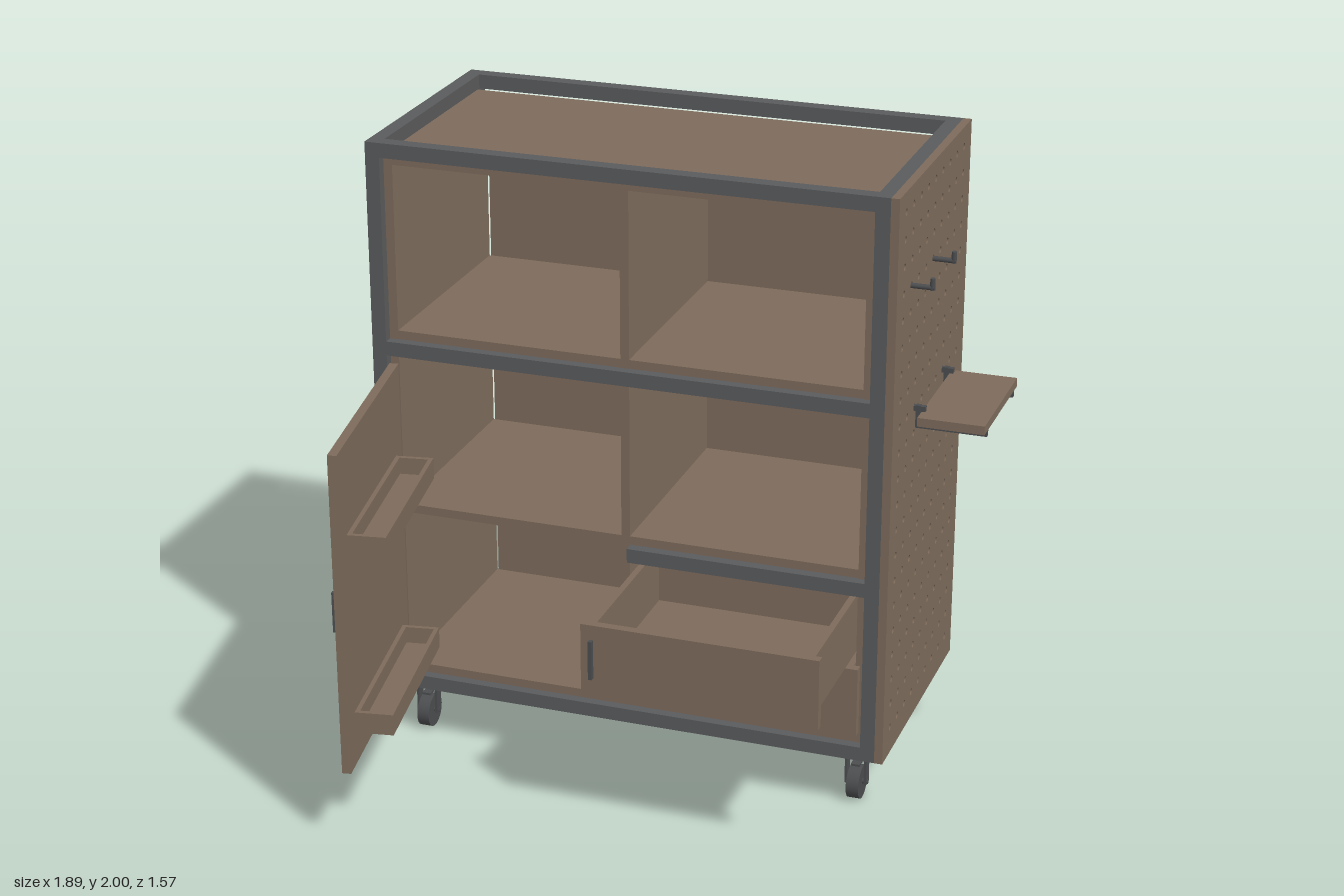
import * as THREE from 'three';

const wood = new THREE.MeshStandardMaterial({ color: 0x7d6b5b });
wood.name = 'plywood';
const steel = new THREE.MeshStandardMaterial({ color: 0x5a5b5c });
steel.name = 'frame steel';
const dark = new THREE.MeshStandardMaterial({ color: 0x4c4d4f });
dark.name = 'dark hardware';

// Box given by its min and max on each axis
function box(parent, name, mat, x0, x1, y0, y1, z0, z1) {
  const m = new THREE.Mesh(new THREE.BoxGeometry(x1 - x0, y1 - y0, z1 - z0), mat);
  m.position.set((x0 + x1) / 2, (y0 + y1) / 2, (z0 + z1) / 2);
  m.name = name;
  parent.add(m);
  return m;
}

function group(parent, name, x = 0, y = 0, z = 0) {
  const g = new THREE.Group();
  g.name = name;
  g.position.set(x, y, z);
  parent.add(g);
  return g;
}

function cylinder(parent, name, mat, r, h, x, y, z, sides = 24) {
  const m = new THREE.Mesh(new THREE.CylinderGeometry(r, r, h, sides), mat);
  m.position.set(x, y, z);
  m.name = name;
  parent.add(m);
  return m;
}

// Outer limits of the steel frame and the inner faces of its bars
const L = -0.945, R = 0.69, B = -0.785, F = 0.045, T = 0.046;
const li = L + T, ri = R - T, bi = B + T, fi = F - T;

function buildFrame(root) {
  const g = group(root, 'frame');
  for (const [x0, x1] of [[L, li], [ri, R]])
    for (const [z0, z1] of [[B, bi], [fi, F]]) box(g, 'post', steel, x0, x1, 0.18, 2, z0, z1);
  for (const y of [0.18, 0.736, 1.319, 2 - T]) {
    box(g, 'backRail', steel, li, ri, y, y + T, B, bi);
    box(g, 'leftRail', steel, L, li, y, y + T, bi, fi);
    box(g, 'rightRail', steel, ri, R, y, y + T, bi, fi);
    box(g, 'frontRail', steel, y === 0.736 ? -0.115 : li, ri, y, y + T, fi, F);
  }
}

function buildPanels(root) {
  const g = group(root, 'panels');
  const z0 = -0.725, z1 = 0.015;
  box(g, 'leftPanel', wood, li, li + 0.028, 0.227, 1.954, z0, z1);
  box(g, 'rightPanel', wood, ri - 0.028, ri, 0.227, 1.954, z0, z1);
  box(g, 'backPanel', wood, -0.866, 0.626, 0.24, 1.94, -0.738, z0);
  box(g, 'divider', wood, -0.143, -0.115, 0.255, 1.926, z0, z1);
  for (const y of [0.227, 0.784, 1.366, 1.926])
    box(g, 'shelf', wood, li + 0.028, ri - 0.028, y, y + 0.028, z0, z1);
}

// Side board with a regular grid of round holes
function buildPegboard(root) {
  const s = new THREE.Shape();
  s.moveTo(-F, 0.18);
  s.lineTo(-B, 0.18);
  s.lineTo(-B, 2);
  s.lineTo(-F, 2);
  s.closePath();
  for (let c = 0; c < 9; c++)
    for (let r = 0; r < 21; r++) {
      const hole = new THREE.Path();
      hole.absarc(0.033 + c * 0.0833, 0.271 + r * 0.0833, 0.011, 0, Math.PI * 2, true);
      s.holes.push(hole);
    }
  const geo = new THREE.ExtrudeGeometry(s, { depth: 0.026, bevelEnabled: false, curveSegments: 10 });
  const m = new THREE.Mesh(geo, wood);
  m.rotation.y = Math.PI / 2;
  m.position.x = R;
  m.name = 'pegboard';
  root.add(m);
}

function buildPegs(root) {
  const g = group(root, 'pegs');
  const peg = (name, y, z, len, tip) => {
    const rod = cylinder(g, name + 'Rod', dark, 0.008, len, 0.7 + len / 2, y, z, 12);
    rod.rotation.z = Math.PI / 2;
    cylinder(g, name + 'Tip', dark, 0.008, tip, 0.7 + len - 0.006, y + tip / 2 - 0.007, z, 12);
  };
  for (const z of [-0.115, -0.365]) peg('hook', 1.687, z, 0.086, 0.036);
  // Small shelf carried by two brackets
  for (const z of [-0.2, -0.532]) {
    box(g, 'bracketArm', dark, 0.722, 0.943, 1.208, 1.226, z - 0.008, z + 0.008);
    box(g, 'bracketUpright', dark, 0.722, 0.736, 1.208, 1.28, z - 0.008, z + 0.008);
    box(g, 'bracketPin', dark, 0.7, 0.752, 1.262, 1.278, z - 0.008, z + 0.008);
  }
  box(g, 'sideShelf', wood, 0.736, 0.943, 1.226, 1.254, -0.575, -0.16);
}

// Drawer with its front face at the group origin in z
function buildDrawer(root, name, y0, y1, z) {
  const g = group(root, name, 0, 0, z);
  const a = -0.1, b = 0.6, t = 0.02, back = -0.64, top = y1 - 0.02, base = y0 + 0.012;
  box(g, 'drawerFront', wood, -0.109, 0.63, y0, y1, -0.028, 0);
  box(g, 'drawerBase', wood, a, b, base, base + 0.014, back, -0.028);
  box(g, 'drawerSide', wood, a, a + t, base, top, back, -0.028);
  box(g, 'drawerSide', wood, b - t, b, base, top, back, -0.028);
  box(g, 'drawerInnerFront', wood, a + t, b - t, base, top, -0.048, -0.028);
  box(g, 'drawerBack', wood, a + t, b - t, base, top, back, back + t);
  box(g, 'drawerHandle', dark, -0.081, -0.069, y0 + 0.052, y0 + 0.178, 0, 0.015);
}

// Open door: local z runs along the door, local +x is its inner face
function buildDoor(root) {
  const g = group(root, 'door', -0.871, 0, 0.055);
  g.rotation.y = THREE.MathUtils.degToRad(10);
  box(g, 'doorPanel', wood, -0.014, 0.014, 0.265, 1.3, 0, 0.735);
  box(g, 'doorHandle', dark, -0.029, -0.014, 0.72, 0.85, 0.695, 0.707);
  for (const y of [0.37, 0.953]) {
    const t = group(g, 'doorTray', 0.014, y, 0.068);
    box(t, 'trayBase', wood, 0, 0.118, 0, 0.014, 0, 0.6);
    box(t, 'trayLip', wood, 0.104, 0.118, 0.014, 0.068, 0, 0.6);
    box(t, 'trayBack', wood, 0, 0.014, 0.014, 0.068, 0, 0.6);
    for (const z of [0, 0.586]) box(t, 'trayEnd', wood, 0.014, 0.104, 0.014, 0.068, z, z + 0.014);
  }
}

function buildCaster(root, x, z) {
  const g = group(root, 'caster', x, 0, z);
  box(g, 'mountPlate', dark, -0.038, 0.038, 0.168, 0.18, -0.038, 0.038);
  cylinder(g, 'swivel', dark, 0.027, 0.022, 0, 0.158, 0);
  box(g, 'forkTop', dark, -0.034, 0.034, 0.138, 0.148, -0.018, 0.018);
  for (const s of [-1, 1])
    box(g, 'forkLeg', dark, s * 0.031 - 0.004, s * 0.031 + 0.004, 0.05, 0.146, -0.016, 0.016);
  cylinder(g, 'wheel', dark, 0.054, 0.04, 0, 0.054, 0, 32).rotation.z = Math.PI / 2;
  cylinder(g, 'axle', dark, 0.009, 0.074, 0, 0.058, 0, 12).rotation.z = Math.PI / 2;
  box(g, 'brakeTab', dark, -0.014, 0.014, 0.116, 0.123, -0.01, 0.022);
}

export function createModel() {
  const root = new THREE.Group();
  root.name = 'toolCabinet';
  buildFrame(root);
  buildPanels(root);
  buildPegboard(root);
  buildPegs(root);
  buildDrawer(root, 'lowerDrawer', 0.262, 0.49, F);
  buildDrawer(root, 'upperDrawer', 0.496, 0.722, 0.465);
  buildDoor(root);
  for (const x of [-0.84, 0.61]) for (const z of [-0.052, -0.68]) buildCaster(root, x, z);
  return root;
}
